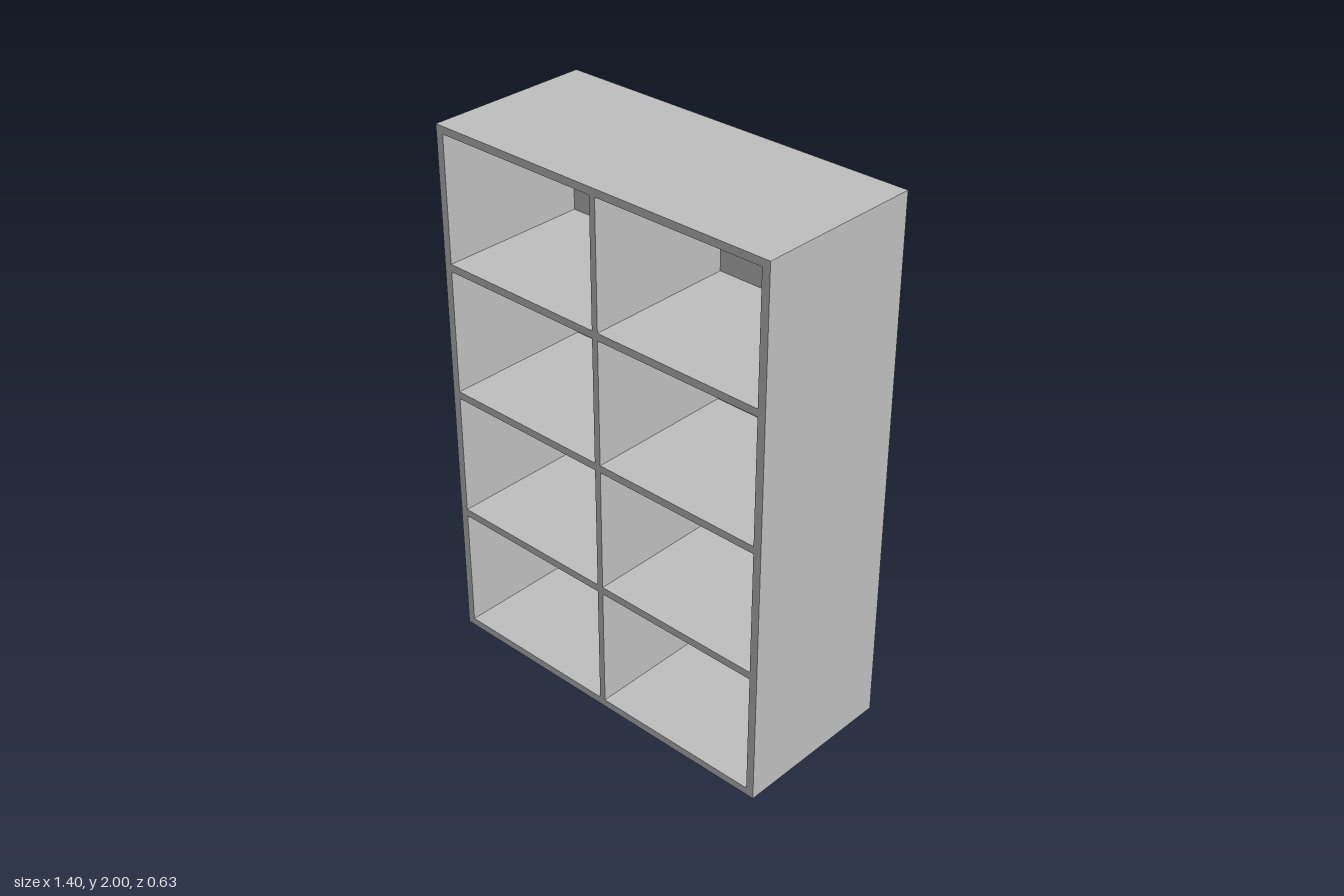
import * as THREE from 'three';

const WIDTH = 1.4, HEIGHT = 2, DEPTH = 0.63;
const SIDE = 0.03, DIVIDER = 0.024, SHELF = 0.028, BACK = 0.055;
const ROWS = 4;

// Closed rectangular outline from its lower left corner and size
function rectangle(path, x, y, w, h) {
  path.moveTo(x, y);
  path.lineTo(x + w, y);
  path.lineTo(x + w, y + h);
  path.lineTo(x, y + h);
  path.closePath();
  return path;
}

export function createModel() {
  const group = new THREE.Group();
  group.name = 'shelfUnit';
  const grey = new THREE.MeshStandardMaterial({ color: 0xbfbfbf });
  grey.name = 'grey';

  // Carcass: sides, divider and shelves around two columns of open cells
  const outline = rectangle(new THREE.Shape(), -WIDTH / 2, 0, WIDTH, HEIGHT);
  const cellW = (WIDTH - 2 * SIDE - DIVIDER) / 2;
  const cellH = (HEIGHT - (ROWS + 1) * SHELF) / ROWS;
  for (const x of [-DIVIDER / 2 - cellW, DIVIDER / 2]) {
    for (let row = 0; row < ROWS; row++) {
      const y = SHELF + row * (cellH + SHELF);
      outline.holes.push(rectangle(new THREE.Path(), x, y, cellW, cellH));
    }
  }
  const carcass = new THREE.Mesh(
    new THREE.ExtrudeGeometry(outline, { depth: DEPTH - BACK, bevelEnabled: false }),
    grey
  );
  carcass.name = 'carcass';
  carcass.position.z = -DEPTH / 2 + BACK;
  group.add(carcass);

  // Solid back closing every cell
  const back = new THREE.Mesh(new THREE.BoxGeometry(WIDTH, HEIGHT, BACK), grey);
  back.name = 'backPanel';
  back.position.set(0, HEIGHT / 2, -DEPTH / 2 + BACK / 2);
  group.add(back);

  return group;
}
